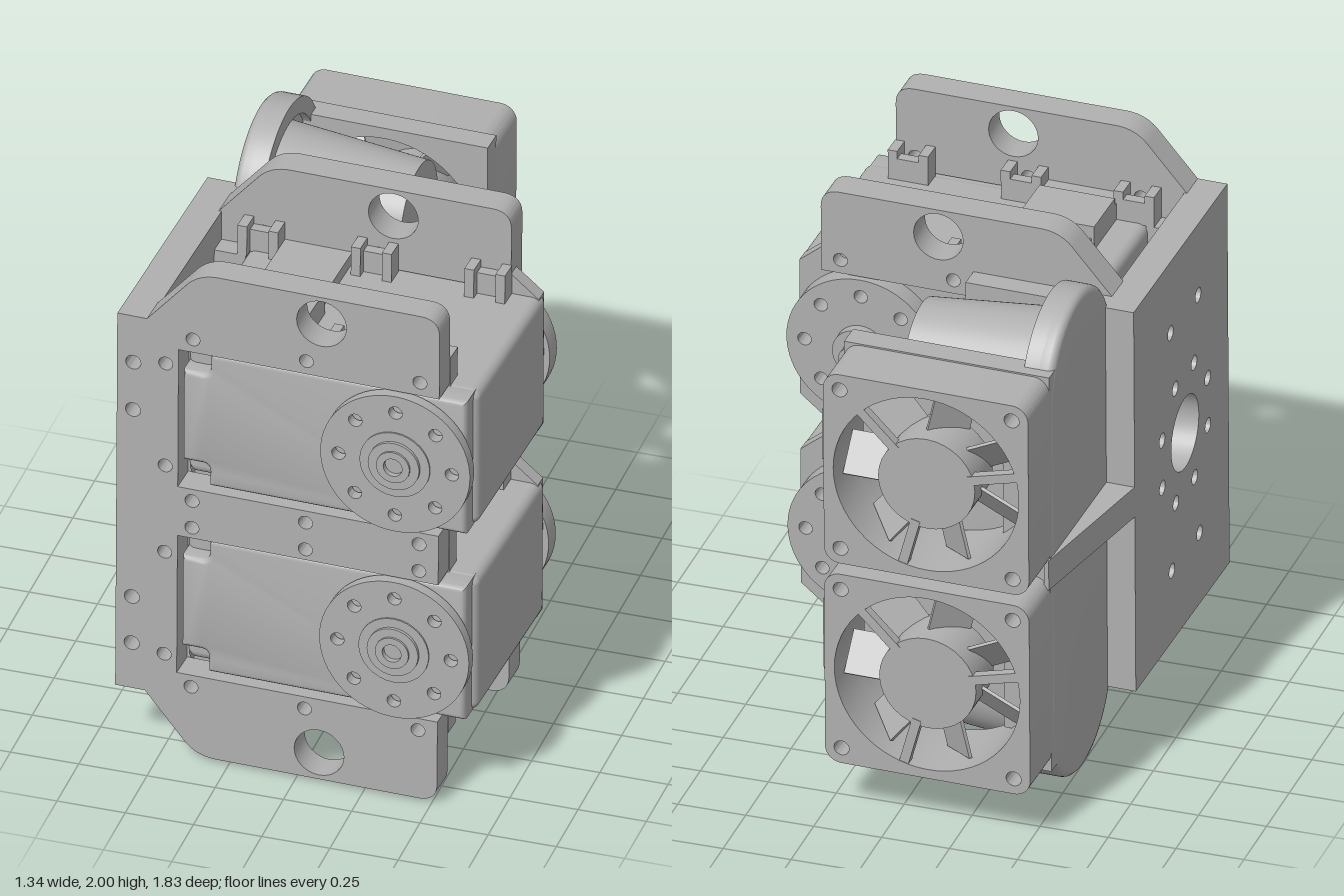
import * as THREE from 'three';
import { toCreasedNormals } from 'three/addons/utils/BufferGeometryUtils.js';
import { RoundedBoxGeometry } from 'three/addons/geometries/RoundedBoxGeometry.js';

const grey = new THREE.MeshStandardMaterial({ color: 0xb0b0b0 });
grey.name = 'plainGrey';

function add(parent, name, geometry, x = 0, y = 0, z = 0) {
  const mesh = new THREE.Mesh(geometry, grey);
  mesh.name = name;
  mesh.position.set(x, y, z);
  parent.add(mesh);
  return mesh;
}

// box given by its minimum and maximum corners
function box(parent, name, x0, x1, y0, y1, z0, z1) {
  return add(parent, name, new THREE.BoxGeometry(x1 - x0, y1 - y0, z1 - z0), (x0 + x1) / 2, (y0 + y1) / 2, (z0 + z1) / 2);
}

function drill(shape, x, y, r) {
  shape.holes.push(new THREE.Path().absarc(x, y, r, 0, Math.PI * 2, true));
}

// extrude along z between two depths
function slab(shape, z0, z1, bevel = 0, seg = 16) {
  const g = new THREE.ExtrudeGeometry(shape, {
    depth: z1 - z0 - 2 * bevel, curveSegments: seg, bevelEnabled: bevel > 0,
    bevelSize: bevel, bevelThickness: bevel, bevelOffset: -bevel, bevelSegments: 3,
  });
  g.translate(0, 0, z0 + bevel);
  return toCreasedNormals(g, 0.6);
}

// same, with the shape drawn in (z, y) and extruded along x
function sideSlab(shape, x0, x1, bevel = 0, seg = 16) {
  return slab(shape, -x1, -x0, bevel, seg).rotateY(-Math.PI / 2);
}

function stadium(z, y0, y1, r) {
  const s = new THREE.Shape();
  s.absarc(z, y1 - r, r, 0, Math.PI, false);
  s.absarc(z, y0 + r, r, Math.PI, Math.PI * 2, false);
  s.closePath();
  return s;
}

function roundedSquare(cx, cy, h, r) {
  const s = new THREE.Shape();
  s.absarc(cx + h - r, cy + h - r, r, 0, Math.PI / 2);
  s.absarc(cx - h + r, cy + h - r, r, Math.PI / 2, Math.PI);
  s.absarc(cx - h + r, cy - h + r, r, Math.PI, Math.PI * 1.5);
  s.absarc(cx + h - r, cy - h + r, r, Math.PI * 1.5, Math.PI * 2);
  s.closePath();
  return s;
}

const SERVO_Y = [0.615, 1.38];
const AXIS_X = 0.395;

// comb-shaped mounting plate, with two slots open to the side
function mountPlate() {
  const s = new THREE.Shape();
  s.moveTo(-0.645, 0.235);
  s.lineTo(-0.535, 0.235);
  s.lineTo(-0.39, 0.06);
  s.quadraticCurveTo(-0.345, 0.006, -0.27, 0.006);
  s.lineTo(0.475, 0.006);
  s.quadraticCurveTo(0.547, 0.006, 0.547, 0.076);
  for (const y of SERVO_Y) {
    s.lineTo(0.547, y - 0.282);
    s.lineTo(-0.418, y - 0.282);
    s.lineTo(-0.418, y + 0.282);
    s.lineTo(0.547, y + 0.282);
  }
  s.lineTo(0.547, 1.918);
  s.quadraticCurveTo(0.547, 1.988, 0.475, 1.988);
  s.lineTo(-0.27, 1.988);
  s.quadraticCurveTo(-0.345, 1.988, -0.39, 1.934);
  s.lineTo(-0.535, 1.765);
  s.lineTo(-0.645, 1.765);
  s.closePath();
  for (const y of [0.115, 1.88]) drill(s, 0.11, y, 0.092);
  for (const x of [-0.365, 0.055, 0.475]) for (const y of [0.285, 0.94, 1.05, 1.715]) drill(s, x, y, 0.026);
  for (const y of [0.4, 0.82, 1.175, 1.595]) drill(s, -0.465, y, 0.026);
  for (const y of [0.42, 0.61, 1.38, 1.575]) drill(s, -0.585, y, 0.028);
  return s;
}

// round horn with eight screw holes
function horn(z0, z1) {
  const s = new THREE.Shape().absarc(0, 0, 0.277, 0, Math.PI * 2);
  for (let i = 0; i < 8; i++) drill(s, 0.21 * Math.cos(i * Math.PI / 4), 0.21 * Math.sin(i * Math.PI / 4), 0.025);
  return slab(s, z0, z1, 0, 32);
}

function servo(cy) {
  const g = new THREE.Group();
  g.name = 'servo';
  g.position.y = cy;
  add(g, 'servoBody', new RoundedBoxGeometry(1.075, 0.55, 0.72, 3, 0.035), 0.1225, 0, 0.39);
  // front cover with notched inner corners
  const c = new THREE.Shape();
  c.moveTo(-0.31, -0.272);
  c.lineTo(0.64, -0.272);
  c.lineTo(0.64, 0.272);
  c.lineTo(-0.31, 0.272);
  c.lineTo(-0.31, 0.215);
  c.quadraticCurveTo(-0.31, 0.185, -0.34, 0.185);
  c.lineTo(-0.41, 0.185);
  c.lineTo(-0.41, -0.185);
  c.lineTo(-0.34, -0.185);
  c.quadraticCurveTo(-0.31, -0.185, -0.31, -0.215);
  c.closePath();
  add(g, 'servoFrontCover', slab(c, 0.68, 0.818, 0.02));
  // chamfered rear ledge
  const l = new THREE.Shape([[0.45, -0.36], [0.54, -0.36], [0.65, -0.27], [0.65, 0.27], [0.54, 0.36], [0.45, 0.36]]
    .map(p => new THREE.Vector2(...p)));
  add(g, 'servoRearLedge', slab(l, 0.03, 0.085));
  // front horn and stepped hub
  add(g, 'frontHorn', horn(0.825, 0.868), AXIS_X);
  const hub = [[0.13, 0], [0.13, 0.006], [0.095, 0.006], [0.095, 0.018], [0.062, 0.018], [0.062, 0.026], [0.035, 0.026], [0.035, 0.005], [0, 0.005]];
  const hubGeo = toCreasedNormals(new THREE.LatheGeometry(hub.map(p => new THREE.Vector2(...p)), 32), 0.6);
  add(g, 'frontHub', hubGeo.rotateX(Math.PI / 2), AXIS_X, 0, 0.868);
  // rear horn, hub and shaft
  add(g, 'rearHorn', horn(-0.045, 0.03), AXIS_X);
  add(g, 'rearHub', new THREE.CylinderGeometry(0.093, 0.093, 0.04, 32).rotateX(Math.PI / 2), AXIS_X, 0, -0.065);
  add(g, 'rearShaft', new THREE.CylinderGeometry(0.052, 0.052, 0.055, 24).rotateX(Math.PI / 2), AXIS_X, 0, -0.11);
  // connector blocks and screw bosses above and below
  for (const s of [-1, 1]) {
    const side = new THREE.Group();
    side.name = 'servoFittings';
    g.add(side);
    const yBox = (name, x0, x1, h0, h1, z0, z1) => box(side, name, x0, x1, Math.min(s * h0, s * h1), Math.max(s * h0, s * h1), z0, z1);
    yBox('connectorBlock', -0.3, -0.02, 0.26, 0.368, 0.43, 0.64);
    yBox('connectorBase', -0.3, -0.02, 0.26, 0.34, 0.64, 0.73);
    yBox('cableTray', -0.29, -0.04, 0.26, 0.32, 0.085, 0.43);
    for (const x of [-0.365, 0.055, 0.475]) for (const z of [0.085, 0.655]) {
      yBox('bossWall', x - 0.075, x - 0.04, 0.27, 0.39, z, z + 0.075);
      yBox('bossWall', x + 0.04, x + 0.075, 0.27, 0.39, z, z + 0.075);
      yBox('bossNut', x - 0.04, x + 0.04, 0.27, 0.36, z, z + 0.04);
    }
  }
  for (const y of [-0.21, 0.21]) for (const z of [0.085, 0.655])
    box(g, 'innerBoss', -0.525, -0.41, y - 0.06, y + 0.06, z, z + 0.075);
  return g;
}

function fan(cx, cy) {
  const g = new THREE.Group();
  g.name = 'fan';
  g.position.set(cx, cy, 0);
  const s = roundedSquare(0, 0, 0.381, 0.06);
  drill(s, 0, 0, 0.345);
  for (const x of [-0.32, 0.32]) for (const y of [-0.32, 0.32]) drill(s, x, y, 0.028);
  add(g, 'fanFrame', slab(s, -0.89, -0.675, 0, 32));
  add(g, 'fanHub', new THREE.CylinderGeometry(0.18, 0.18, 0.18, 32).rotateX(Math.PI / 2), 0, 0, -0.795);
  for (let i = 0; i < 3; i++) {
    const a = Math.PI * (0.25 + i * 2 / 3);
    add(g, 'fanStrut', new THREE.BoxGeometry(0.2, 0.035, 0.035), 0.26 * Math.cos(a), 0.26 * Math.sin(a), -0.87).rotation.z = a;
  }
  for (let i = 0; i < 7; i++) {
    const a = i * Math.PI * 2 / 7;
    const blade = new THREE.BoxGeometry(0.17, 0.16, 0.012).rotateX(0.7).rotateZ(a);
    add(g, 'fanBlade', blade, 0.25 * Math.cos(a), 0.25 * Math.sin(a), -0.765);
  }
  return g;
}

export function createModel() {
  const root = new THREE.Group();
  root.name = 'servoFanAssembly';
  const tilt = new THREE.Group();
  tilt.name = 'tiltedAssembly';
  tilt.position.y = 1;
  tilt.rotation.set(-0.016, -0.03, 0);
  root.add(tilt);
  const m = new THREE.Group();
  m.name = 'assembly';
  m.position.y = -1;
  tilt.add(m);

  // bracket: front and rear plates joined by a side wall
  add(m, 'frontPlate', slab(mountPlate(), 0.73, 0.84));
  add(m, 'rearPlate', slab(mountPlate(), -0.03, 0.085));
  const wall = new THREE.Shape([[-0.11, 0.235], [0.73, 0.235], [0.73, 1.765], [-0.11, 1.765]].map(p => new THREE.Vector2(...p)));
  drill(wall, 0.4, 1, 0.14);
  for (let i = 0; i < 8; i++) {
    const a = Math.PI * (i + 0.5) / 4;
    drill(wall, 0.4 + 0.25 * Math.cos(a), 1 + 0.25 * Math.sin(a), 0.028);
  }
  for (const z of [0.26, 0.54]) for (const y of [0.52, 1.48]) drill(wall, z, y, 0.028);
  add(m, 'sideWall', sideSlab(wall, -0.645, -0.525));
  box(m, 'rearSpacer', -0.53, -0.02, 0.235, 1.765, -0.11, -0.03);
  for (const y of SERVO_Y) m.add(servo(y));

  // long duct cup: closed back, raised rim and side rails
  add(m, 'ductBack', sideSlab(stadium(-0.36, 0.045, 1.95, 0.31), -0.54, -0.46, 0.025, 24));
  const rim = stadium(-0.36, 0.045, 1.95, 0.31);
  rim.holes.push(new THREE.Path(stadium(-0.36, 0.11, 1.885, 0.265).getPoints(24)));
  add(m, 'ductRim', sideSlab(rim, -0.49, -0.43, 0, 24));
  box(m, 'ductRail', -0.5, -0.36, 0.34, 1.66, -0.12, -0.055);
  box(m, 'ductRail', -0.5, -0.36, 0.34, 1.66, -0.665, -0.6);

  // tapered plug, narrowing toward its open side
  const plug = new THREE.ExtrudeGeometry(stadium(-0.36, 0.145, 1.855, 0.245), { depth: 0.52, bevelEnabled: false, curveSegments: 24 });
  const p = plug.attributes.position;
  for (let i = 0; i < p.count; i++) {
    if (p.getZ(i) > 0.26) continue;
    const cy = THREE.MathUtils.clamp(p.getY(i), 0.39, 1.61);
    p.setX(i, -0.36 + (p.getX(i) + 0.36) * 0.8);
    p.setY(i, cy + (p.getY(i) - cy) * 0.8);
  }
  plug.computeVertexNormals();
  add(m, 'taperedPlug', toCreasedNormals(plug.rotateY(-Math.PI / 2), 0.6), 0.05);

  // gusset between fan carrier and bracket
  const gusset = new THREE.Shape([[-0.645, 0.11], [-0.52, 0.11], [-0.52, 0.69], [-0.538, 0.69]].map(q => new THREE.Vector2(...q)));
  add(m, 'gusset', slab(gusset, 0.94, 1.06).rotateX(-Math.PI / 2));

  // fan carrier plate and two fans
  const FAN_X = -0.157, FAN_Y = [0.597, 1.403];
  const carrier = new THREE.Shape([[-0.538, 0.2], [0.224, 0.2], [0.224, 1.79], [-0.538, 1.79]].map(q => new THREE.Vector2(...q)));
  for (const y of FAN_Y) drill(carrier, FAN_X, y, 0.345);
  add(m, 'fanCarrier', slab(carrier, -0.675, -0.585, 0, 32));
  for (const y of FAN_Y) m.add(fan(FAN_X, y));
  return root;
}
